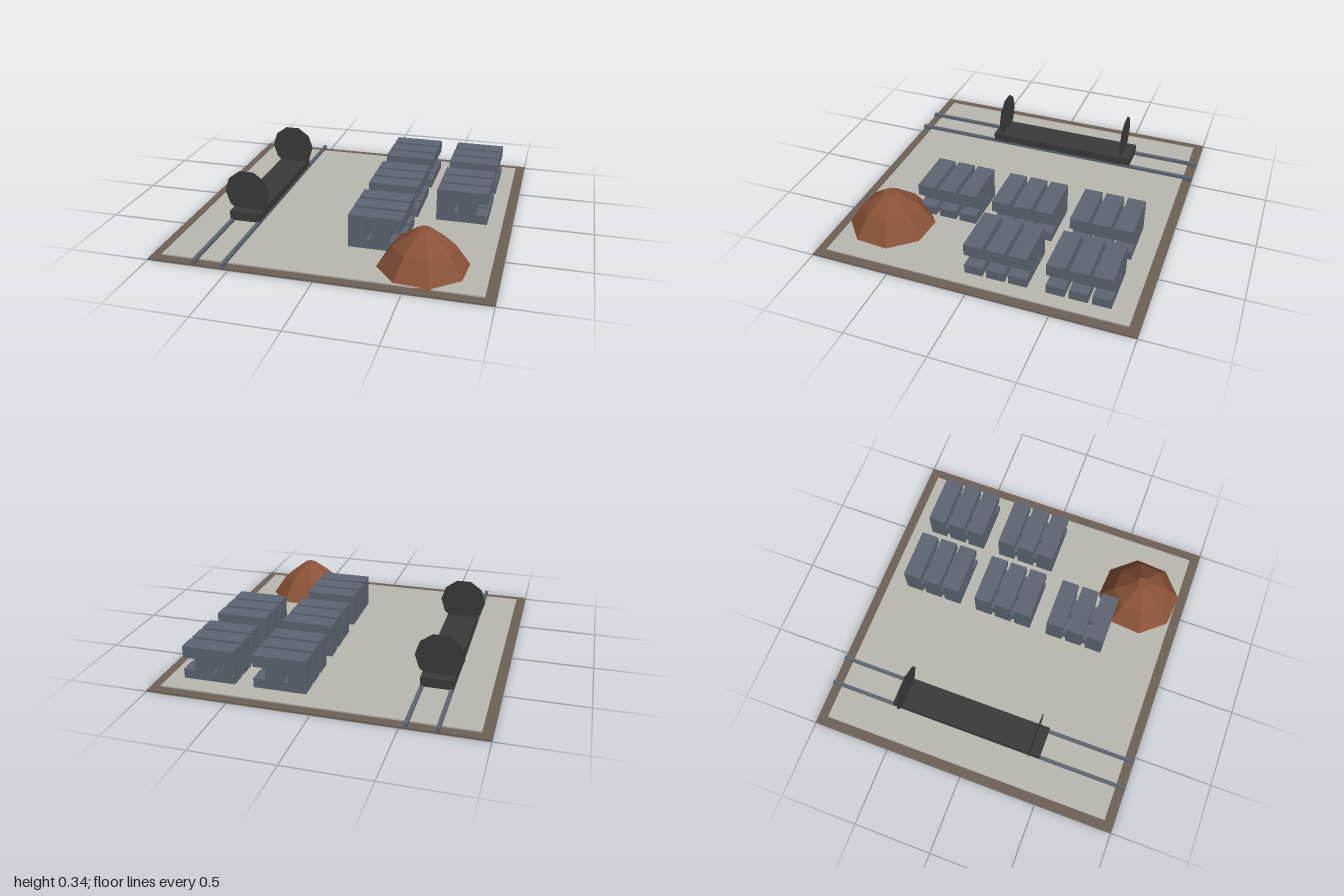
import * as THREE from 'three';

const mat = (name, color, extra = {}) => {
  const m = new THREE.MeshStandardMaterial({ color, flatShading: true, ...extra });
  m.name = name;
  return m;
};

export function createModel() {
  const soil = mat('brown soil', 0x6e6156);
  const concrete = mat('pale concrete', 0xb9b9b1);
  const steel = mat('blue grey steel', 0x5e6672);
  const iron = mat('dark iron', 0x3a3a3a, { side: THREE.DoubleSide });
  const rust = mat('rust heap', 0x8a5238);

  const model = new THREE.Group();
  model.name = 'storageYard';

  // Box given by its minimum and maximum corners
  const box = (parent, name, material, [x0, y0, z0], [x1, y1, z1]) => {
    const mesh = new THREE.Mesh(new THREE.BoxGeometry(x1 - x0, y1 - y0, z1 - z0), material);
    mesh.position.set((x0 + x1) / 2, (y0 + y1) / 2, (z0 + z1) / 2);
    mesh.name = name;
    parent.add(mesh);
  };

  // Ground
  box(model, 'groundBase', soil, [-1, 0, -1], [1, 0.01, 1]);
  box(model, 'yardSlab', concrete, [-0.94, 0.01, -0.94], [0.94, 0.018, 0.94]);

  // Rails
  for (const x of [-0.725, -0.548]) {
    box(model, 'rail', steel, [x, 0.01, -1], [x + 0.022, 0.037, 1]);
  }

  // Flat wagon with two paper-thin ten-sided end discs
  const wagon = new THREE.Group();
  wagon.name = 'wagon';
  box(wagon, 'wagonBed', iron, [-0.725, 0.03, -0.565], [-0.527, 0.09, 0.432]);
  for (const z of [-0.5, 0.37]) {
    const disc = new THREE.Mesh(new THREE.CircleGeometry(0.148, 10), iron);
    disc.position.set(-0.626, 0.2, z);
    disc.name = 'wagonDisc';
    wagon.add(disc);
  }
  model.add(wagon);

  // Beam stacks: three low beams, two crossing bearers, three high beams
  const addStack = (x, z) => {
    const stack = new THREE.Group();
    stack.name = 'beamStack';
    for (let i = 0; i < 3; i++) {
      const z0 = z + i * 0.137;
      box(stack, 'lowerBeam', steel, [x, 0.012, z0], [x + 0.322, 0.077, z0 + 0.112]);
      box(stack, 'upperBeam', steel, [x, 0.152, z0], [x + 0.322, 0.226, z0 + 0.112]);
    }
    for (const dx of [0, 0.138]) {
      box(stack, 'bearer', steel, [x + dx, 0.077, z], [x + dx + 0.108, 0.152, z + 0.386]);
    }
    model.add(stack);
  };
  for (const x of [0.085, 0.525]) {
    for (const z of [-0.815, -0.315, 0.185]) {
      if (x < 0.5 || z < 0) addStack(x, z);
    }
  }

  // Eight-sided heap
  const profile = [[0.276, 0.008], [0.18, 0.145], [0.04, 0.25], [0, 0.25]]
    .map(([r, y]) => new THREE.Vector2(r, y));
  const heap = new THREE.Mesh(
    new THREE.LatheGeometry(profile, 8, THREE.MathUtils.degToRad(18)), rust);
  heap.position.set(0.56, 0, 0.687);
  heap.name = 'heap';
  model.add(heap);

  return model;
}
